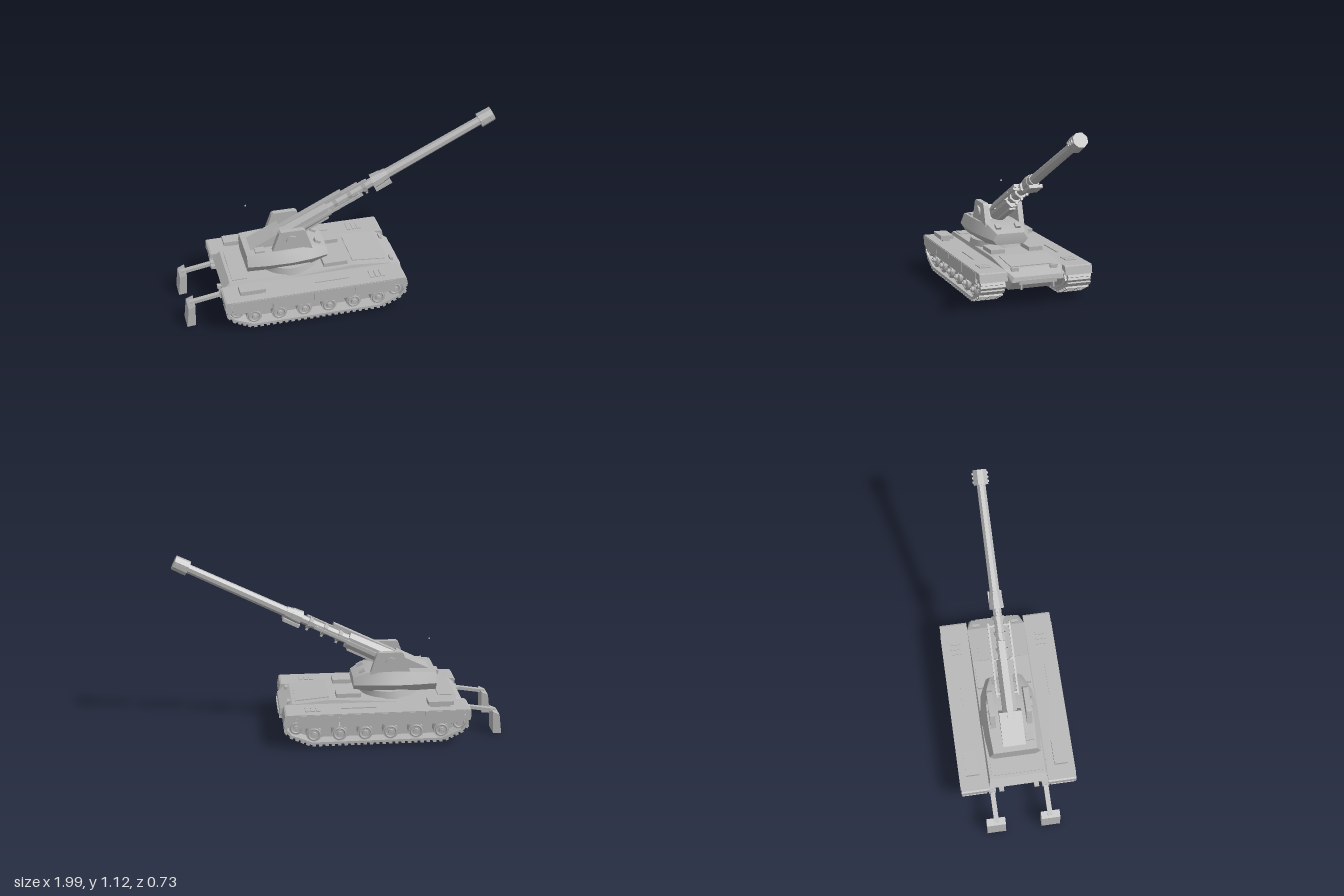
import * as THREE from 'three';
import { mergeGeometries, toCreasedNormals } from 'three/addons/utils/BufferGeometryUtils.js';
import { ConvexGeometry } from 'three/addons/geometries/ConvexGeometry.js';

const steel = new THREE.MeshStandardMaterial({ color: 0xb6b6b6 });
steel.name = 'plain grey';

function add(parent, name, geo, x = 0, y = 0, z = 0) {
  const m = new THREE.Mesh(geo, steel);
  m.name = name;
  m.position.set(x, y, z);
  parent.add(m);
  return m;
}
const box = (w, h, d) => new THREE.BoxGeometry(w, h, d);
// Cylinder lying along x (first radius at the +x end) or along z
const tubeX = (r1, r2, len, n = 8) => new THREE.CylinderGeometry(r1, r2, len, n).rotateY(Math.PI / n).rotateZ(-Math.PI / 2).toNonIndexed();
const flat = (g) => { g.computeVertexNormals(); return g; };
const tubeZ = (r, len, n = 20) => new THREE.CylinderGeometry(r, r, len, n).rotateX(Math.PI / 2);
// Side profile in x/y extruded between two z values
function plate(points, z0, z1, hole) {
  const s = new THREE.Shape(points.map((p) => new THREE.Vector2(...p)));
  if (hole) s.holes.push(new THREE.Path(hole.map((p) => new THREE.Vector2(...p))));
  return new THREE.ExtrudeGeometry(s, { depth: z1 - z0, bevelEnabled: false }).translate(0, 0, z0);
}
// Symmetric convex body from [x, y, halfWidth] points
const body = (pts) => new ConvexGeometry(pts.flatMap(([x, y, w]) => [new THREE.Vector3(x, y, w), new THREE.Vector3(x, y, -w)]));

const trackLoop = [[-0.62, 0.025], [0.19, 0.025], [0.32, 0.085], [0.35, 0.13], [0.33, 0.175], [0.28, 0.192],
  [-0.7, 0.192], [-0.75, 0.175], [-0.77, 0.13], [-0.74, 0.085]];
const innerLoop = trackLoop.map(([x, y]) => [(x + 0.21) * 0.972 - 0.21, (y - 0.11) * 0.83 + 0.11]);

function trackCleats(zc) {
  const parts = [];
  trackLoop.forEach(([ax, ay], i) => {
    const [bx, by] = trackLoop[(i + 1) % trackLoop.length];
    const dx = bx - ax, dy = by - ay, len = Math.hypot(dx, dy);
    const n = Math.max(1, Math.round(len / 0.038));
    for (let k = 0; k < n; k++) {
      const t = (k + 0.5) / n;
      parts.push(box(0.02, 0.016, 0.15).rotateZ(Math.atan2(dy, dx))
        .translate(ax + dx * t + dy / len * 0.004, ay + dy * t - dx / len * 0.004, zc));
    }
  });
  return mergeGeometries(parts);
}

function buildRunningGear(s) {
  const g = new THREE.Group();
  g.name = s > 0 ? 'leftRunningGear' : 'rightRunningGear';
  const span = (a, b) => (s > 0 ? [a, b] : [-b, -a]);
  add(g, 'trackBand', plate(trackLoop, ...span(0.203, 0.353), innerLoop));
  add(g, 'trackCore', plate(innerLoop, ...span(0.19, 0.27)));
  add(g, 'trackCleats', trackCleats(s * 0.278));
  // Six road wheels plus raised idler and sprocket
  const wheels = [0, 1, 2, 3, 4, 5].map((i) => [-0.604 + i * 0.155, 0.085, 0.047]);
  wheels.push([0.278, 0.13, 0.044], [-0.71, 0.13, 0.044]);
  for (const [x, y, r] of wheels) {
    add(g, 'wheel', tubeZ(r, 0.07), x, y, s * 0.3);
    add(g, 'wheelRim', new THREE.TorusGeometry(r * 0.72, 0.006, 6, 20), x, y, s * 0.336);
    add(g, 'wheelHub', tubeZ(0.017, 0.02, 10), x, y, s * 0.343);
    add(g, 'hubCap', tubeZ(0.008, 0.02, 8), x, y, s * 0.349);
  }
  // Fender with bent-down ends
  add(g, 'fender', plate([[-0.78, 0.17], [-0.765, 0.17], [-0.765, 0.2], [0.33, 0.2], [0.34, 0.165], [0.355, 0.165],
    [0.345, 0.215], [0.335, 0.22], [-0.77, 0.22], [-0.78, 0.215]], ...span(0.185, 0.36)));
  // Side skirts with clipped lower corners
  const edges = [-0.742, -0.495, -0.237, 0.02, 0.275];
  for (let i = 0; i < 4; i++) {
    const a = edges[i] + 0.003, b = edges[i + 1] - 0.003;
    add(g, 'sideSkirt', plate([[a, 0.15], [a + 0.014, 0.137], [b - 0.014, 0.137], [b, 0.15], [b, 0.215], [a, 0.215]], ...span(0.354, 0.363)));
  }
  add(g, 'rearMudguard', plate([[-0.78, 0.155], [-0.745, 0.145], [-0.745, 0.215], [-0.78, 0.215]], ...span(0.354, 0.36)));
  add(g, 'frontMudguard', plate([[0.278, 0.18], [0.355, 0.165], [0.345, 0.215], [0.278, 0.215]], ...span(0.354, 0.36)));
  // Fender fittings
  add(g, 'stowageBox', box(0.155, 0.025, 0.083), -0.603, 0.247, s * 0.277);
  add(g, 'stowageFoot', box(0.12, 0.02, 0.05), -0.603, 0.227, s * 0.277);
  add(g, 'fenderRail', box(0.215, 0.008, 0.007), -0.105, 0.222, s * 0.277);
  for (let i = 0; i < 3; i++) add(g, 'grille', box(0.024, 0.008, 0.07), 0.142 + i * 0.033, 0.222, s * 0.277);
  return g;
}

function buildHull() {
  const g = new THREE.Group();
  g.name = 'hull';
  add(g, 'hullBody', body([[-0.72, 0.24, 0.175], [-0.765, 0.2, 0.185], [-0.755, 0.16, 0.185], [-0.66, 0.102, 0.17], [0.06, 0.243, 0.18],
    [0.29, 0.222, 0.185], [0.29, 0.18, 0.192], [0.365, 0.185, 0.15], [0.37, 0.155, 0.165], [0.32, 0.102, 0.17], [-0.72, 0.2, 0.192]]));
  const hatch = add(g, 'glacisHatch', box(0.21, 0.008, 0.27), 0.165, 0.2345, 0);
  hatch.rotation.z = -0.09;
  add(g, 'engineDeckPlate', box(0.09, 0.008, 0.32), -0.655, 0.242, 0);
  add(g, 'noseBar', box(0.015, 0.025, 0.24), 0.368, 0.153, 0);
  add(g, 'turretRing', new THREE.CylinderGeometry(0.175, 0.185, 0.045, 32), -0.32, 0.257, 0);
  for (const s of [1, -1]) {
    add(g, 'deckBox', box(0.15, 0.026, 0.09), -0.055, 0.262, s * 0.125);
    add(g, 'headlight', box(0.018, 0.022, 0.046), 0.31, 0.22, s * 0.125);
    add(g, 'towHook', box(0.025, 0.03, 0.01), 0.355, 0.122, s * 0.103);
    add(g, 'rearLamp', box(0.025, 0.02, 0.03), -0.775, 0.18, s * 0.11);
    // Recoil spade on its arm
    const arm = add(g, 'spadeArm', box(0.23, 0.02, 0.03), -0.855, 0.153, s * 0.168);
    arm.rotation.z = 0.16;
    add(g, 'spadeArmRib', box(0.04, 0.035, 0.045), -0.765, 0.165, s * 0.168);
    add(g, 'spade', plate([[-1, 0], [-0.948, 0.005], [-0.942, 0.145], [-0.985, 0.125]], s * 0.171 - 0.059, s * 0.171 + 0.059));
  }
  return g;
}

function buildTurret() {
  const g = new THREE.Group();
  g.name = 'turret';
  add(g, 'turretBody', toCreasedNormals(body([
    [-0.6, 0.272, 0.13], [-0.6, 0.32, 0.16], [-0.6, 0.385, 0.135],
    [-0.48, 0.27, 0.135], [-0.48, 0.32, 0.173], [-0.46, 0.39, 0.142],
    [-0.33, 0.27, 0.135], [-0.33, 0.32, 0.178], [-0.33, 0.393, 0.142],
    [-0.2, 0.27, 0.13], [-0.2, 0.32, 0.163], [-0.18, 0.39, 0.12],
    [-0.095, 0.275, 0.09], [-0.09, 0.305, 0.115], [-0.092, 0.345, 0.09]]), 0.5));
  for (const s of [1, -1]) {
    // Trunnion cheek and bearing cap
    const z = s * 0.113;
    add(g, 'trunnionCheek', plate([[-0.445, 0.375], [-0.19, 0.375], [-0.232, 0.505], [-0.245, 0.516], [-0.385, 0.516], [-0.397, 0.505]], z - 0.017, z + 0.017));
    add(g, 'bearingCap', tubeZ(0.036, 0.018, 8), -0.32, 0.452, s * 0.133);
    const sight = add(g, 'sightBlock', box(0.04, 0.03, 0.032), -0.15, 0.375, s * 0.065);
    sight.rotation.z = -0.5;
  }
  add(g, 'roofHatch', box(0.06, 0.012, 0.05), -0.515, 0.395, 0.1);
  add(g, 'aerialTip', box(0.008, 0.008, 0.008), -0.555, 0.595, -0.107);
  return g;
}

function buildGun() {
  const g = new THREE.Group();
  g.name = 'gun';
  g.position.set(0.25, 0.727, 0);
  g.rotation.z = 0.459;
  add(g, 'breechHousing', box(0.23, 0.1, 0.14), -0.785, 0.006, 0);
  const cradle = flat(tubeX(0.052, 0.057, 0.36));
  add(g, 'cradle', cradle.scale(1, 1.1, 0.85), -0.53, 0, 0);
  add(g, 'cradleTopRail', box(0.42, 0.018, 0.04), -0.44, 0.05, 0);
  add(g, 'cradleKeel', box(0.25, 0.03, 0.04), -0.5, -0.05, 0);
  add(g, 'innerBarrel', flat(tubeX(0.027, 0.032, 0.42)), -0.19, 0, 0);
  for (const x of [-0.38, -0.295, -0.195, -0.095]) {
    add(g, 'collar', flat(tubeX(0.042, 0.034, 0.026)), x, 0, 0);
    add(g, 'collarLug', box(0.014, 0.02, 0.014), x, -0.044, 0);
  }
  add(g, 'topRail', box(0.28, 0.012, 0.02), -0.2, 0.032, 0);
  add(g, 'clampCollar', flat(tubeX(0.043, 0.048, 0.065)), 0.0, 0, 0);
  add(g, 'clampRing', flat(tubeX(0.036, 0.04, 0.04)), 0.05, 0, 0);
  add(g, 'travelLockPlate', box(0.11, 0.02, 0.085), 0.015, -0.043, 0);
  add(g, 'barrel', flat(tubeX(0.028, 0.032, 0.72)), 0.37, 0, 0);
  for (const s of [1, -1]) {
    add(g, 'recoilRod', box(0.46, 0.016, 0.012), -0.35, 0.0, s * 0.065);
    for (const x of [-0.56, -0.35, -0.14]) add(g, 'rodBracket', box(0.012, 0.014, 0.045), x, 0, s * 0.045);
    // Muzzle side ports
    for (let i = 0; i < 3; i++) add(g, 'muzzlePort', box(0.014, 0.022, 0.01), 0.737 + i * 0.025, 0, s * 0.044);
  }
  add(g, 'muzzleBrake', flat(tubeX(0.045, 0.047, 0.092)), 0.763, 0, 0);
  return g;
}

export function createModel() {
  const model = new THREE.Group();
  model.name = 'selfPropelledGun';
  model.add(buildHull(), buildRunningGear(1), buildRunningGear(-1), buildTurret(), buildGun());
  return model;
}
